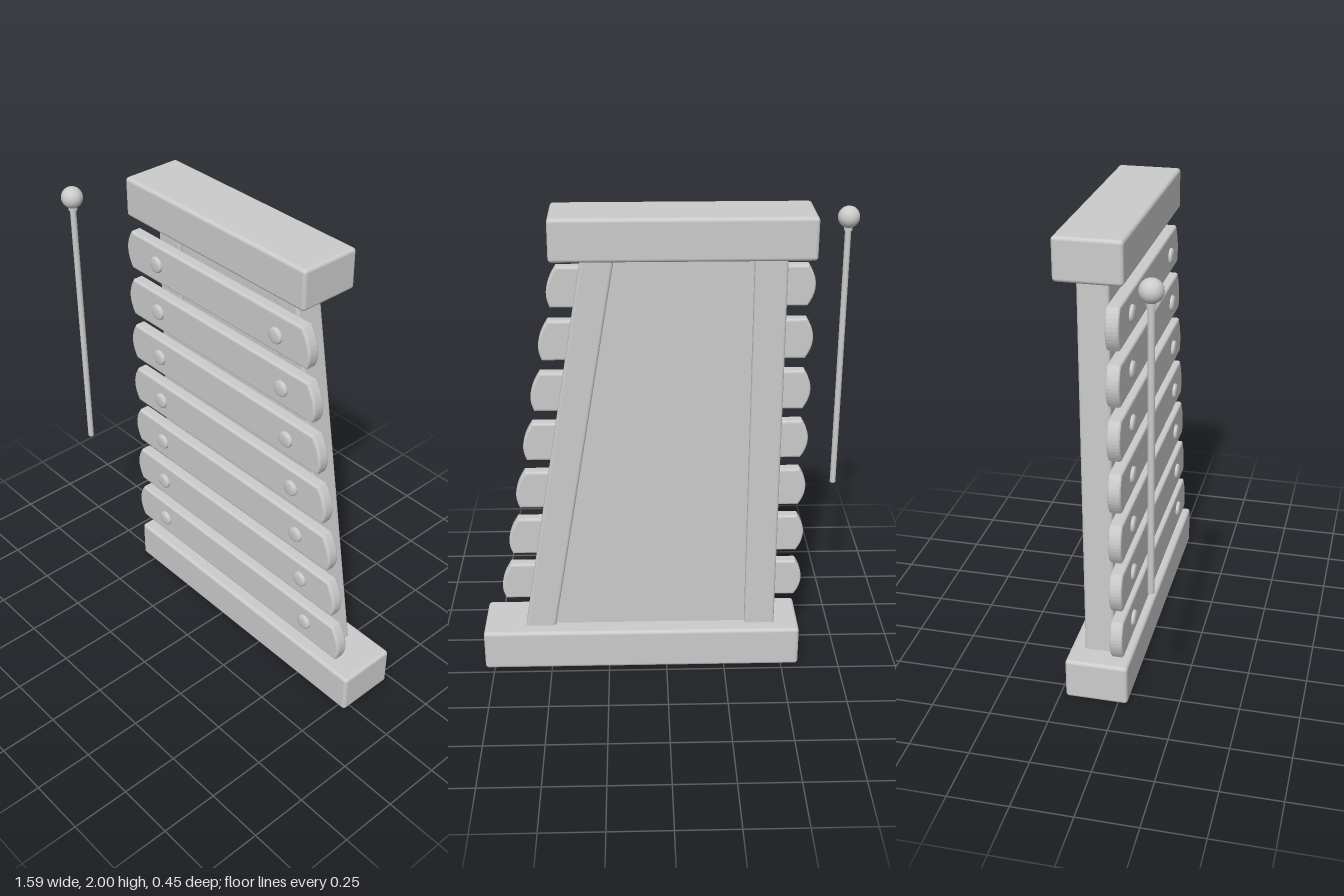
import * as THREE from 'three';
import { RoundedBoxGeometry } from 'three/addons/geometries/RoundedBoxGeometry.js';

const material = new THREE.MeshStandardMaterial({ color: 0xcccccc });

function add(parent, name, geometry, x = 0, y = 0, z = 0) {
  const mesh = new THREE.Mesh(geometry, material);
  mesh.name = name;
  mesh.position.set(x, y, z);
  parent.add(mesh);
  return mesh;
}

// Rounded block given by its limits
function block(parent, name, x0, x1, y0, y1, z0, z1, r) {
  const geo = new RoundedBoxGeometry(x1 - x0, y1 - y0, z1 - z0, 3, r);
  return add(parent, name, geo, (x0 + x1) / 2, (y0 + y1) / 2, (z0 + z1) / 2);
}

// Sounding bar: bowed left end, slanted bowed right end
function barGeometry(left, right) {
  const bevel = 0.01, h = 0.085 - bevel;
  const l = left + bevel, r = right - bevel;
  const s = new THREE.Shape();
  s.moveTo(l + 0.025, -h);
  s.lineTo(r - 0.012, -h);
  s.quadraticCurveTo(r + 0.018, -0.01, r - 0.038, h);
  s.lineTo(l + 0.025, h);
  s.quadraticCurveTo(l - 0.025, 0, l + 0.025, -h);
  const geo = new THREE.ExtrudeGeometry(s, {
    depth: 0.054 - 2 * bevel, bevelEnabled: true, bevelThickness: bevel,
    bevelSize: bevel, bevelSegments: 3, curveSegments: 10,
  });
  return geo.translate(0, 0, -0.027 + bevel);
}

// Peg with a softly rounded head, running from post to bar front
function pegGeometry() {
  const profile = [[0, -0.045], [0.035, -0.045], [0.035, 0.032], [0.033, 0.037], [0.028, 0.041], [0.015, 0.043], [0, 0.043]]
    .map(([x, y]) => new THREE.Vector2(x, y));
  return new THREE.LatheGeometry(profile, 24).rotateX(Math.PI / 2);
}

export function createModel() {
  const model = new THREE.Group();
  model.name = 'xylophone';
  const lowY = 0.18, highY = 1.83;

  // End blocks
  block(model, 'bottomBlock', -0.575, 0.79, 0, lowY, -0.225, 0.04, 0.015);
  block(model, 'topBlock', -0.575, 0.45, highY, 2, -0.225, 0.04, 0.015);

  // Upright post and leaning post
  block(model, 'straightPost', -0.47, -0.34, lowY - 0.04, highY + 0.04, -0.165, -0.04, 0.012);
  const lean = (0.265 - 0.545) / (highY - lowY);
  const postGeo = new RoundedBoxGeometry(0.13, 1.73, 0.125, 3, 0.012);
  postGeo.applyMatrix4(new THREE.Matrix4().set(
    1, lean, 0, 0,
    0, 1, 0, 0,
    0, 0, 1, 0,
    0, 0, 0, 1));
  postGeo.computeVertexNormals();
  add(model, 'leaningPost', postGeo, 0.405, (lowY + highY) / 2, -0.1025);

  // Panel between the posts
  const panel = new THREE.Shape();
  panel.moveTo(-0.4, lowY - 0.02);
  panel.lineTo(0.55, lowY - 0.02);
  panel.lineTo(0.265, highY + 0.02);
  panel.lineTo(-0.4, highY + 0.02);
  panel.closePath();
  add(model, 'backPanel', new THREE.ExtrudeGeometry(panel, { depth: 0.085, bevelEnabled: false }), 0, 0, -0.145);

  // Seven bars, each held by two pegs
  const pegGeo = pegGeometry();
  for (let i = 0; i < 7; i++) {
    const y = 0.32 + 0.225 * i;
    const bar = new THREE.Group();
    bar.name = `bar${i + 1}`;
    add(bar, 'plate', barGeometry(-0.6, 0.72 - 0.0405 * i));
    add(bar, 'leftPeg', pegGeo, -0.405, 0, 0);
    add(bar, 'rightPeg', pegGeo, 0.518 - 0.0365 * i, 0.007 - 0.0025 * i, 0);
    bar.position.y = y;
    model.add(bar);
  }

  // Mallet hanging beside the bars
  const mallet = new THREE.Group();
  mallet.name = 'mallet';
  add(mallet, 'stick', new THREE.CylinderGeometry(0.013, 0.013, 1.18, 16), 0, 1.28, 0);
  add(mallet, 'collar', new THREE.CylinderGeometry(0.018, 0.018, 0.025, 16), 0, 1.85, 0);
  add(mallet, 'ball', new THREE.SphereGeometry(0.045, 24, 16), 0, 1.893, 0);
  mallet.position.set(-0.75, 0, 0.18);
  model.add(mallet);

  return model;
}
